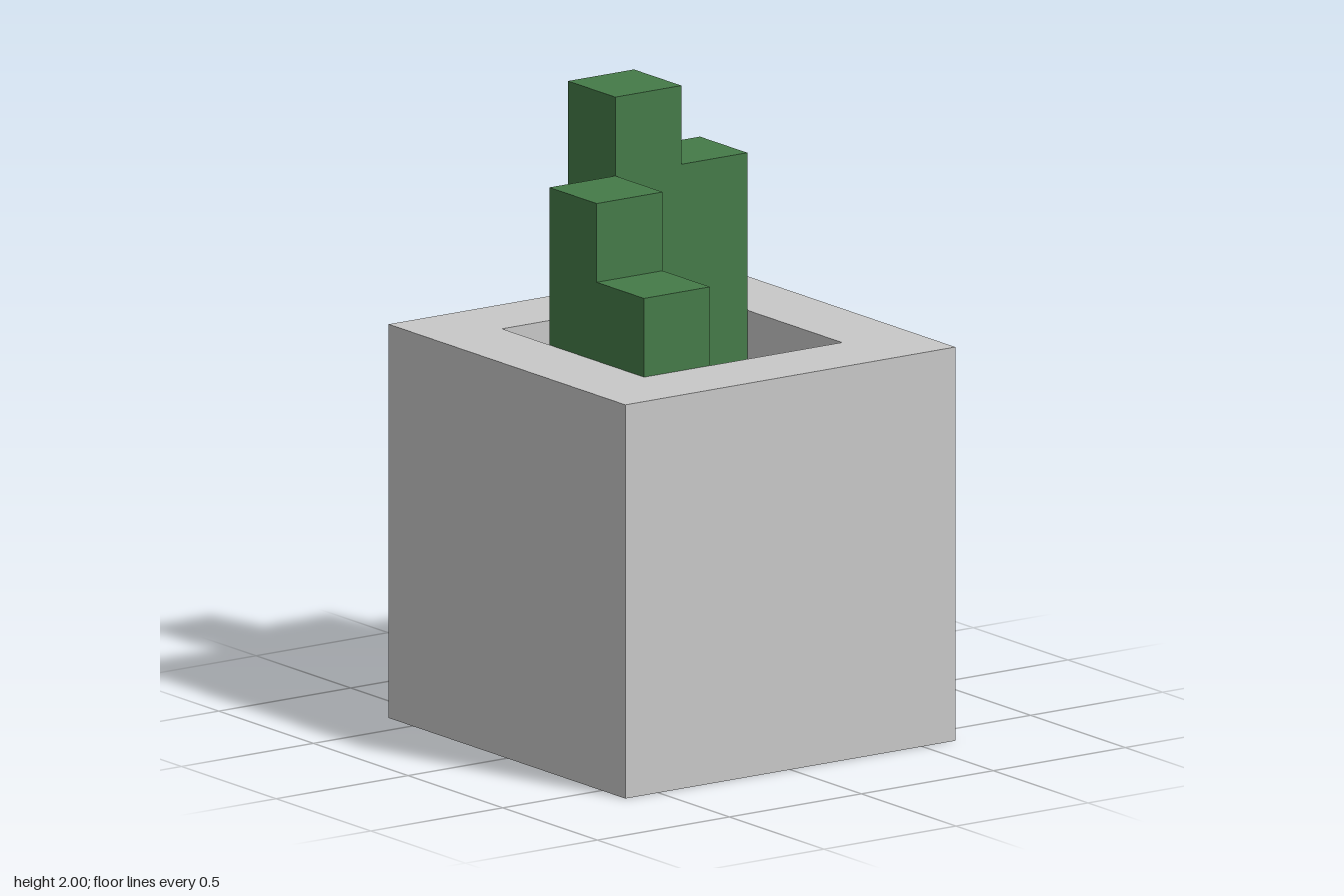
import * as THREE from 'three';

const U = 0.25; // block unit

// Extruded stair silhouette: columns of given heights, one unit wide and deep
function stairs(u0, heights, base) {
  const pts = [new THREE.Vector2(u0, base)];
  pts.push(new THREE.Vector2(u0 + heights.length * U, base));
  for (let i = heights.length - 1; i >= 0; i--) {
    pts.push(new THREE.Vector2(u0 + (i + 1) * U, heights[i]));
    pts.push(new THREE.Vector2(u0 + i * U, heights[i]));
  }
  return new THREE.ExtrudeGeometry(new THREE.Shape(pts), { depth: U, bevelEnabled: false });
}

export function createModel() {
  const model = new THREE.Group();
  const stone = new THREE.MeshStandardMaterial({ color: 0xc8c8c8 });
  stone.name = 'pale grey pot';
  const green = new THREE.MeshStandardMaterial({ color: 0x457a48 });
  green.name = 'plant green';
  const add = (name, geometry, material) => {
    const mesh = new THREE.Mesh(geometry, material);
    mesh.name = name;
    model.add(mesh);
  };

  // Square pot with a recess: a four-sided lathe with flat faces
  const floor = 1.0;
  const profile = [[0, 0], [0.625, 0], [0.625, 1.25], [0.375, 1.25], [0.375, floor], [0, floor]]
    .map(([r, y]) => new THREE.Vector2(r * Math.SQRT2, y));
  const pot = new THREE.LatheGeometry(profile, 4, Math.PI / 4).toNonIndexed();
  pot.computeVertexNormals();
  add('pot', pot, stone);

  // Front stems, stepping down towards +x
  add('frontStems', stairs(-0.125, [1.75, 1.5], floor).translate(0, 0, 0.125), green);

  // Side stems, stepping up from the back to the tallest column
  add('sideStems', stairs(-0.375, [1.75, 2.0], floor).rotateY(-Math.PI / 2).translate(-0.125, 0, 0), green);

  return model;
}
